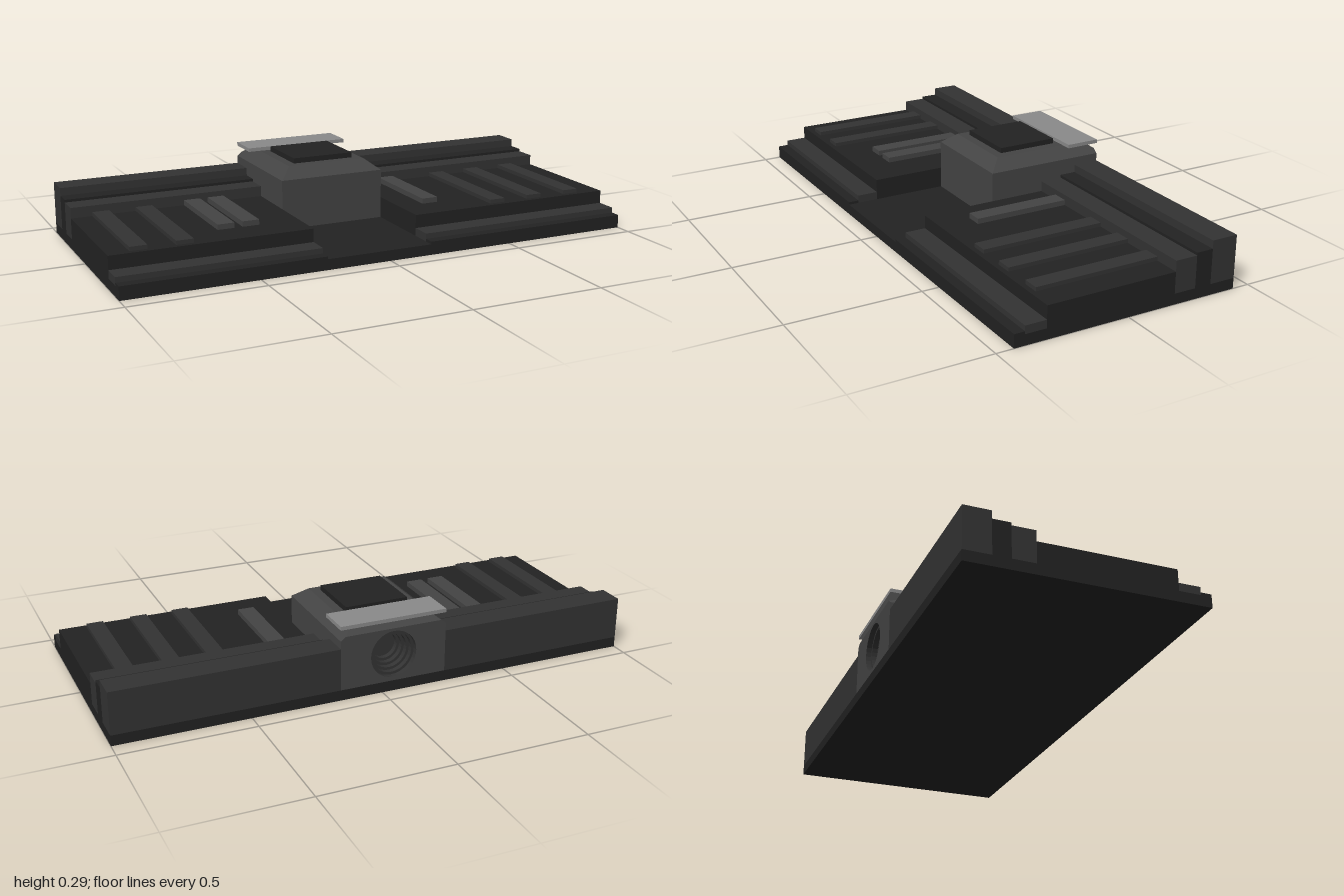
import * as THREE from 'three';

const mat = (color) => new THREE.MeshStandardMaterial({ color, flatShading: true, side: THREE.DoubleSide });

export function createModel() {
  const model = new THREE.Group();
  const dark = mat(0x222222), mid = mat(0x333333), stone = mat(0x444444), pale = mat(0x8a8a8a);

  const add = (name, geometry, material) => {
    const mesh = new THREE.Mesh(geometry, material);
    mesh.name = name;
    model.add(mesh);
    return mesh;
  };
  // Box given by its limits on each axis
  const box = (name, x0, x1, y0, y1, z0, z1, material) =>
    add(name, new THREE.BoxGeometry(x1 - x0, y1 - y0, z1 - z0), material)
      .position.set((x0 + x1) / 2, (y0 + y1) / 2, (z0 + z1) / 2);

  const L = -0.25, R = 0.165, BACK = -0.435, FRONT = 0.435;

  // Ground slab, whose top is the floor of the central channel
  box('base', -1, 1, 0, 0.04, BACK, FRONT, dark);

  // Stepped terraces on both sides of the channel: z from, z to, top, material
  const terraces = [
    ['frontLowerStep', 0.395, FRONT, 0.05, dark],
    ['frontUpperStep', 0.315, 0.395, 0.07, mid],
    ['deck', -0.185, 0.315, 0.12, dark],
    ['rearLowerStep', -0.27, -0.185, 0.16, mid],
    ['rearMiddleStep', -0.335, -0.27, 0.17, dark],
    ['rearWall', BACK, -0.335, 0.2, mid],
  ];
  for (const [x0, x1] of [[-1, L], [R, 1]])
    for (const [name, z0, z1, top, m] of terraces) box(name, x0, x1, 0.04, top, z0, z1, m);

  // Raised ribs lying on the decks
  for (const x of [-0.92, -0.755, 0.5, 0.665, 0.835])
    box('longRib', x, x + 0.064, 0.12, 0.135, -0.187, 0.295, mid);
  for (const x of [-0.565, -0.47, 0.265])
    box('shortRib', x, x + 0.064, 0.12, 0.14, -0.187, 0.185, stone);

  // Central block with bevelled top, built from rectangular sections
  const sections = [
    [0.04, 0, BACK], [0.23, 0, BACK], [0.245, 0.019, BACK], [0.27, 0.05, -0.4],
  ].map(([y, inset, z0]) => {
    const x0 = L + inset, x1 = R - inset, z1 = 0.03 - inset;
    return [[x0, y, z1], [x1, y, z1], [x1, y, z0], [x0, y, z0]];
  });
  const verts = [];
  const quad = (a, b, c, d) => verts.push(...a, ...b, ...c, ...a, ...c, ...d);
  for (let s = 0; s < 3; s++)
    for (let i = 0; i < 4; i++) {
      if (i === 2 && s < 2) continue; // rear panel is made separately
      const j = (i + 1) % 4;
      quad(sections[s][i], sections[s][j], sections[s + 1][j], sections[s + 1][i]);
    }
  quad(...sections[3]);
  const block = new THREE.BufferGeometry();
  block.setAttribute('position', new THREE.Float32BufferAttribute(verts, 3));
  block.computeVertexNormals();
  add('centralBlock', block, stone);

  // Rear panel with a round opening
  const cx = (L + R) / 2, cy = 0.145, radius = 0.09;
  const panel = new THREE.Shape([
    [L, 0.04], [R, 0.04], [R, 0.23], [R - 0.019, 0.245], [L + 0.019, 0.245], [L, 0.23],
  ].map(([x, y]) => new THREE.Vector2(x, y)));
  panel.holes.push(new THREE.Path().absarc(cx, cy, radius, 0, Math.PI * 2, true));
  add('rearPanel', new THREE.ShapeGeometry(panel, 16), stone).position.z = BACK;

  // Stepped round recess behind the opening
  const profile = [];
  for (let i = 0; i < 5; i++) {
    const r = radius - i * 0.01;
    profile.push(new THREE.Vector2(r, i * 0.02), new THREE.Vector2(r, (i + 1) * 0.02));
  }
  profile.push(new THREE.Vector2(0, 0.1));
  add('rearRecess', new THREE.LatheGeometry(profile, 32).rotateX(Math.PI / 2), mid)
    .position.set(cx, cy, BACK);

  // Roof pad and rear roof slab
  box('roofPad', -0.165, 0.08, 0.27, 0.29, -0.288, -0.055, dark);
  box('roofSlab', L, R, 0.272, 0.286, BACK, -0.305, pale);

  return model;
}
